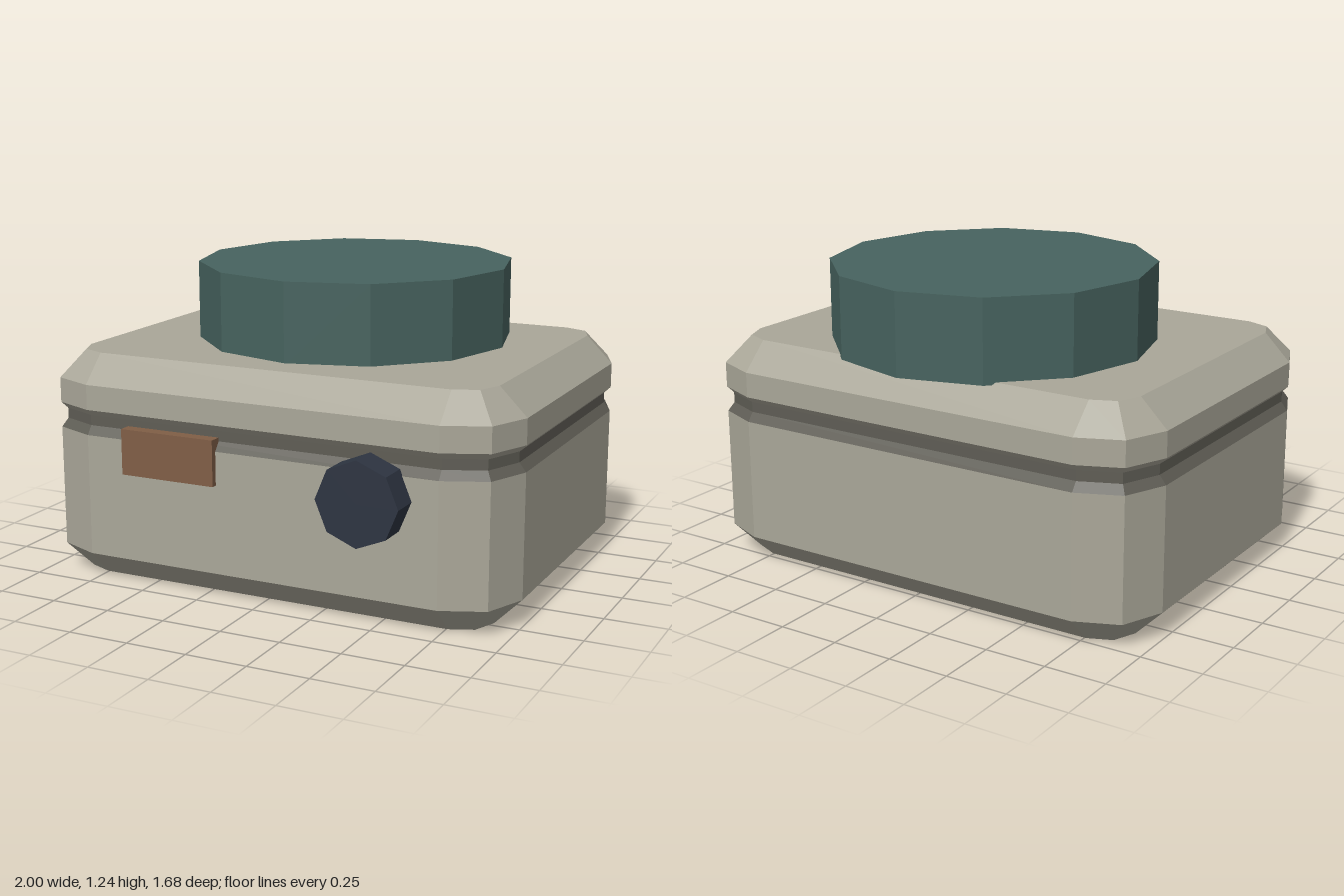
import * as THREE from 'three';

const paint = (name, color) => {
  const m = new THREE.MeshStandardMaterial({ color, flatShading: true });
  m.name = name;
  return m;
};

const CZ = -0.055; // body centre in z
const HX = 1, HZ = 0.775, R = 0.245; // half sizes and corner radius

// Rounded-rectangle outline, two facets per corner, shrunk by inset
function ring(inset, y) {
  const pts = [];
  for (let q = 0; q < 4; q++) {
    const sx = q === 0 || q === 3 ? 1 : -1;
    const sz = q < 2 ? 1 : -1;
    for (let k = 0; k < 3; k++) {
      const a = (q + k / 2) * Math.PI / 2;
      pts.push([
        sx * (HX - R) + (R - inset) * Math.cos(a), y,
        CZ + sz * (HZ - R) + (R - inset) * Math.sin(a)]);
    }
  }
  return pts;
}

// Skin between successive [inset, y] outlines, with optional flat caps
function loft(profile, capBottom, capTop) {
  const rings = profile.map(([i, y]) => ring(i, y));
  const pos = [];
  const tri = (a, b, c) => pos.push(...a, ...b, ...c);
  const n = rings[0].length;
  for (let r = 0; r + 1 < rings.length; r++) {
    for (let i = 0; i < n; i++) {
      const j = (i + 1) % n;
      const lo = rings[r], hi = rings[r + 1];
      tri(lo[i], hi[i], hi[j]);
      tri(lo[i], hi[j], lo[j]);
    }
  }
  const first = rings[0], last = rings[rings.length - 1];
  for (let i = 1; i < n - 1; i++) {
    if (capBottom) tri(first[0], first[i], first[i + 1]);
    if (capTop) tri(last[0], last[i + 1], last[i]);
  }
  const g = new THREE.BufferGeometry();
  g.setAttribute('position', new THREE.Float32BufferAttribute(pos, 3));
  g.computeVertexNormals();
  return g;
}

export function createModel() {
  const group = new THREE.Group();
  group.name = 'device';
  const shell = paint('warm grey shell', 0xaaa799);
  const seam = paint('dark seam', 0x5f5d55);
  const teal = paint('teal', 0x47635f);
  const brown = paint('brown', 0x805e46);
  const navy = paint('dark navy', 0x2e3542);

  const add = (name, geometry, material, x = 0, y = 0, z = 0) => {
    const mesh = new THREE.Mesh(geometry, material);
    mesh.name = name;
    mesh.position.set(x, y, z);
    group.add(mesh);
    return mesh;
  };

  // Case: chamfered tub, recessed seam and chamfered lid
  add('lowerCase', loft([[0.11, 0], [0, 0.11], [0, 0.605]], true, false), shell);
  add('seamGroove', loft([[0, 0.605], [0.027, 0.64], [0.027, 0.682]], false, false), seam);
  add('lid', loft([[0.027, 0.682], [0, 0.708], [0, 0.81], [0.11, 0.92]], false, true), shell);

  // Twelve-sided drum overhanging the back edge
  add('topDrum', new THREE.CylinderGeometry(0.656, 0.656, 0.33, 12), teal, 0, 1.075, -0.185);

  // Front plate and eight-sided knob
  add('frontPlate', new THREE.BoxGeometry(0.41, 0.185, 0.055), brown, -0.375, 0.5625, 0.7175);
  const knob = add('frontKnob', new THREE.CylinderGeometry(0.167, 0.167, 0.125, 8), navy, 0.483, 0.512, 0.778);
  knob.rotation.x = Math.PI / 2;

  return group;
}
